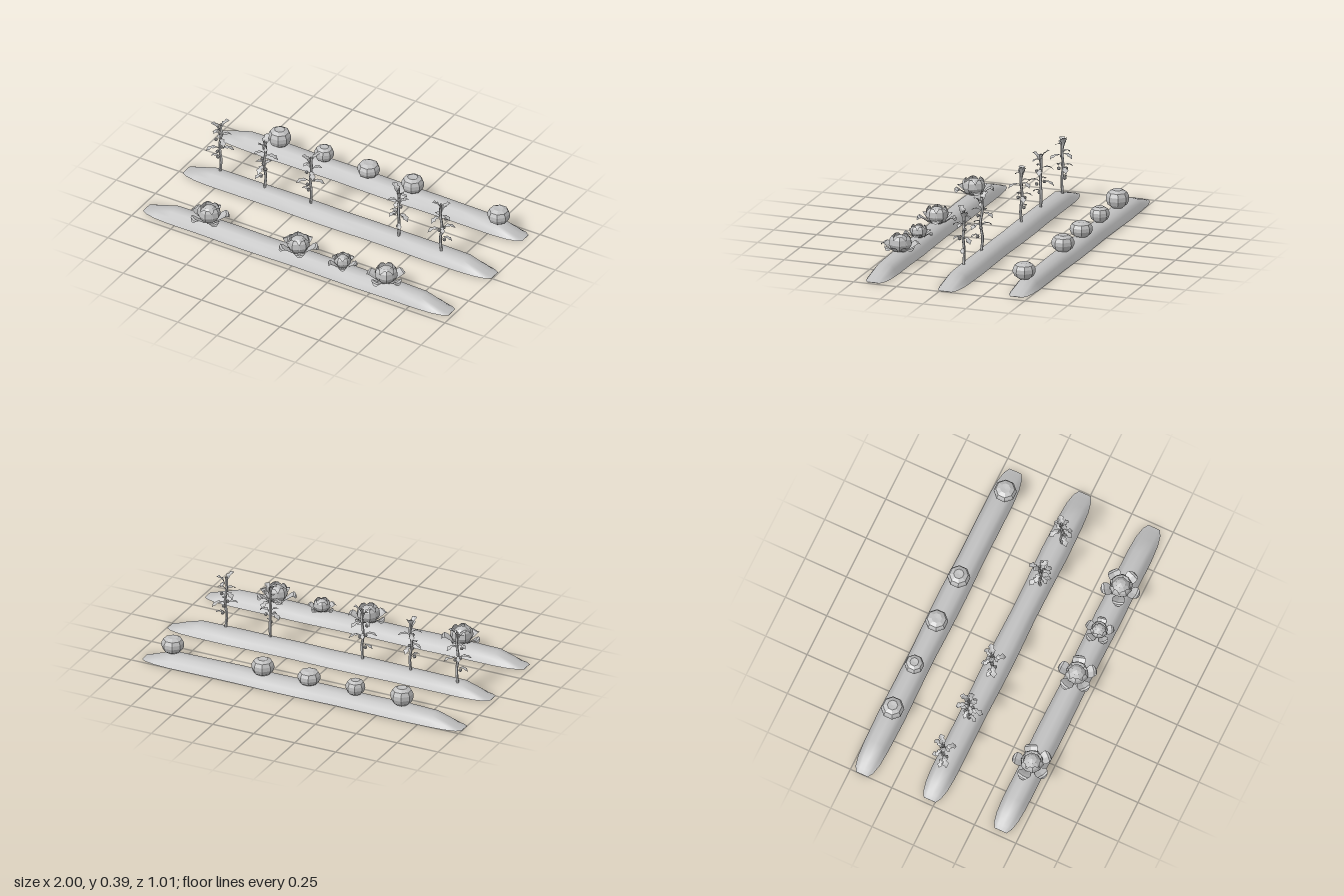
import * as THREE from 'three';

const grey = new THREE.MeshStandardMaterial({ color: 0xc0c0c0, side: THREE.DoubleSide });
grey.name = 'plain grey';

function add(parent, geometry, name, flat = true) {
  const g = flat && geometry.index ? geometry.toNonIndexed() : geometry;
  g.computeVertexNormals();
  const mesh = new THREE.Mesh(g, grey);
  mesh.name = name;
  parent.add(mesh);
  return mesh;
}

// Skin a list of equally long rows of points
function loft(rows) {
  const n = rows[0].length, index = [];
  for (let i = 0; i < rows.length - 1; i++) {
    for (let j = 0; j < n - 1; j++) {
      const a = i * n + j, b = a + 1, c = a + n, d = c + 1;
      index.push(a, b, c, b, d, c);
    }
  }
  const g = new THREE.BufferGeometry();
  g.setAttribute('position', new THREE.Float32BufferAttribute(rows.flat(2), 3));
  g.setIndex(index);
  return g;
}

// Leaf growing along +x: path holds [reach, height, half width]
function leaf(path, curl, lift) {
  return loft(path.map(([r, y, w]) => [
    [r - curl * w, y + lift * w, -w], [r, y, 0], [r - curl * w, y + lift * w, w],
  ]));
}

// Long soil ridge with blunt sloping ends
function bed(x0, x1, z, phase) {
  const group = new THREE.Group();
  group.name = 'soilBed';
  const ends = [[0, 0.035, 0.002], [0.03, 0.053, 0.01], [0.09, 0.066, 0.032], [0.18, 0.072, 0.059]];
  const len = x1 - x0;
  const stations = ends.map(([d, w, h]) => [x0 + d, w, h]);
  for (let i = 1; i < 8; i++) {
    const t = i / 8;
    stations.push([x0 + 0.18 + t * (len - 0.36), 0.073 + 0.003 * Math.sin(i * 1.7 + phase), 0.062 + 0.002 * Math.sin(i * 2.3 + phase)]);
  }
  [...ends].reverse().forEach(([d, w, h]) => stations.push([x1 - d, w, h]));
  const profile = [[1, 0], [0.76, 0.55], [0.5, 0.95], [0, 1.03], [-0.5, 0.95], [-0.76, 0.55], [-1, 0]];
  add(group, loft(stations.map(([x, w, h]) => profile.map(([pz, py]) => [x, py * h, z + pz * w]))), 'soilRidge', false);
  add(group, loft(stations.map(([x, w]) => [[x, 0, z - w], [x, 0, z + w]])), 'soilUnderside');
  for (const [x, w, h] of [stations[0], stations[stations.length - 1]]) {
    const s = x < 0 ? 1 : -1;
    add(group, loft([[[x, 0, z - s * w], [x, 0, z + s * w]], [[x, h, z - s * w / 2], [x, h, z + s * w / 2]]]), 'soilEnd');
  }
  return group;
}

// Eight-sided gourd with a shallow top
function pumpkin(radius, height) {
  const group = new THREE.Group();
  group.name = 'pumpkin';
  const profile = [[0, 0], [0.5, 0], [0.85, 0.17], [1, 0.42], [0.98, 0.65], [0.82, 0.86], [0.45, 0.99], [0, 0.96]];
  const g = new THREE.LatheGeometry(profile.map(([r, y]) => new THREE.Vector2(r * radius, y * height)), 8);
  add(group, g, 'pumpkinBody');
  return group;
}

// Round head wrapped in upright leaves, with spreading outer leaves
function cabbage() {
  const group = new THREE.Group();
  group.name = 'cabbage';
  const heart = add(group, new THREE.SphereGeometry(0.052, 8, 6), 'cabbageHeart');
  heart.position.y = 0.043;
  const inner = [[0.012, 0, 0.012], [0.05, 0.016, 0.034], [0.066, 0.045, 0.042], [0.062, 0.075, 0.033], [0.05, 0.093, 0.014]];
  const outer = [[0.02, 0.004, 0.012], [0.05, 0.01, 0.024], [0.076, 0.03, 0.036], [0.094, 0.041, 0.035], [0.106, 0.038, 0.026], [0.112, 0.027, 0.012]];
  for (let i = 0; i < 5; i++) {
    const a = i * Math.PI * 0.4;
    add(group, leaf(inner, 0.45, 0), 'innerLeaf').rotation.y = a + 0.63;
    add(group, leaf(outer, 0.1, 0.18), 'outerLeaf').rotation.y = a;
  }
  return group;
}

// Tall stalk with lobed drooping leaves, small fruit and a leafy tip
function tallPlant() {
  const group = new THREE.Group();
  group.name = 'tallPlant';
  const points = [[0, 0, 0], [0.006, 0.08, 0.004], [-0.004, 0.16, -0.003], [0.006, 0.24, 0.003], [0.002, 0.31, 0]];
  const curve = new THREE.CatmullRomCurve3(points.map((p) => new THREE.Vector3(...p)));
  const stem = new THREE.TubeGeometry(curve, 10, 0.008, 5, false);
  add(group, stem, 'stem');
  const droop = [[0, 0, 0.003], [0.02, 0.014, 0.005], [0.036, 0.018, 0.017], [0.046, 0.015, 0.009], [0.06, 0.01, 0.019], [0.07, 0.002, 0.009], [0.08, -0.01, 0.002]];
  const upright = [[0, 0, 0.004], [0.008, 0.028, 0.01], [0.018, 0.05, 0.021], [0.026, 0.057, 0.011], [0.038, 0.067, 0.017], [0.05, 0.068, 0.003]];
  // Height, direction and size of each leaf
  const leaves = [[0.09, 2.9, 0.75], [0.145, 0.3, 0.95], [0.15, 3.5, 1], [0.16, 1.8, 0.75], [0.215, 5.2, 0.95], [0.225, 0.8, 0.9], [0.235, 2.5, 0.75], [0.275, 4.1, 0.6]];
  for (const [y, a, s] of leaves) {
    const m = add(group, leaf(droop, -0.3, -0.2), 'stemLeaf');
    m.position.y = y;
    m.rotation.y = a;
    m.scale.setScalar(s);
  }
  for (const a of [0.4, 3.3]) {
    const m = add(group, leaf(upright, 0.2, 0.2), 'tipLeaf');
    m.position.y = a < 1 ? 0.262 : 0.245;
    m.rotation.y = a;
  }
  for (const [y, a, r] of [[0.15, 1.1, 0.022], [0.142, 4.2, 0.024], [0.21, 3.4, 0.023], [0.085, 2.6, 0.02]]) {
    const m = add(group, new THREE.IcosahedronGeometry(0.011, 0), 'smallFruit');
    m.position.set(Math.cos(a) * r, y, -Math.sin(a) * r);
  }
  return group;
}

export function createModel() {
  const model = new THREE.Group();
  model.name = 'vegetablePatch';
  model.add(bed(-1, 0.95, -0.43, 0), bed(-0.975, 0.995, -0.033, 2), bed(-0.97, 0.98, 0.393, 4));

  const place = (part, x, y, z, turn, scale = 1) => {
    part.position.set(x, y, z);
    part.rotation.y = turn;
    part.scale.setScalar(scale);
    model.add(part);
  };

  // Back row: x, base height, z, radius, height
  for (const [x, y, z, r, h] of [
    [-0.618, 0.064, -0.427, 0.064, 0.101], [-0.335, 0.064, -0.43, 0.054, 0.085],
    [-0.052, 0.06, -0.43, 0.063, 0.085], [0.23, 0.058, -0.43, 0.063, 0.092], [0.788, 0.06, -0.415, 0.063, 0.09],
  ]) place(pumpkin(r, h), x, y, z, 0.39);

  // Middle row
  [[-0.768, -0.05, 0.3], [-0.475, -0.033, 1.3], [-0.18, -0.033, 0.2], [0.393, -0.015, 2.4], [0.665, -0.015, 3.6]]
    .forEach(([x, z, turn]) => place(tallPlant(), x, 0.055, z, turn));

  // Front row
  [[-0.57, 0.5, 1], [0, 1.55, 1], [0.283, 0.2, 0.74], [0.56, 0.9, 1]]
    .forEach(([x, turn, s]) => place(cabbage(), x, 0.06, 0.393, turn, s));

  return model;
}
